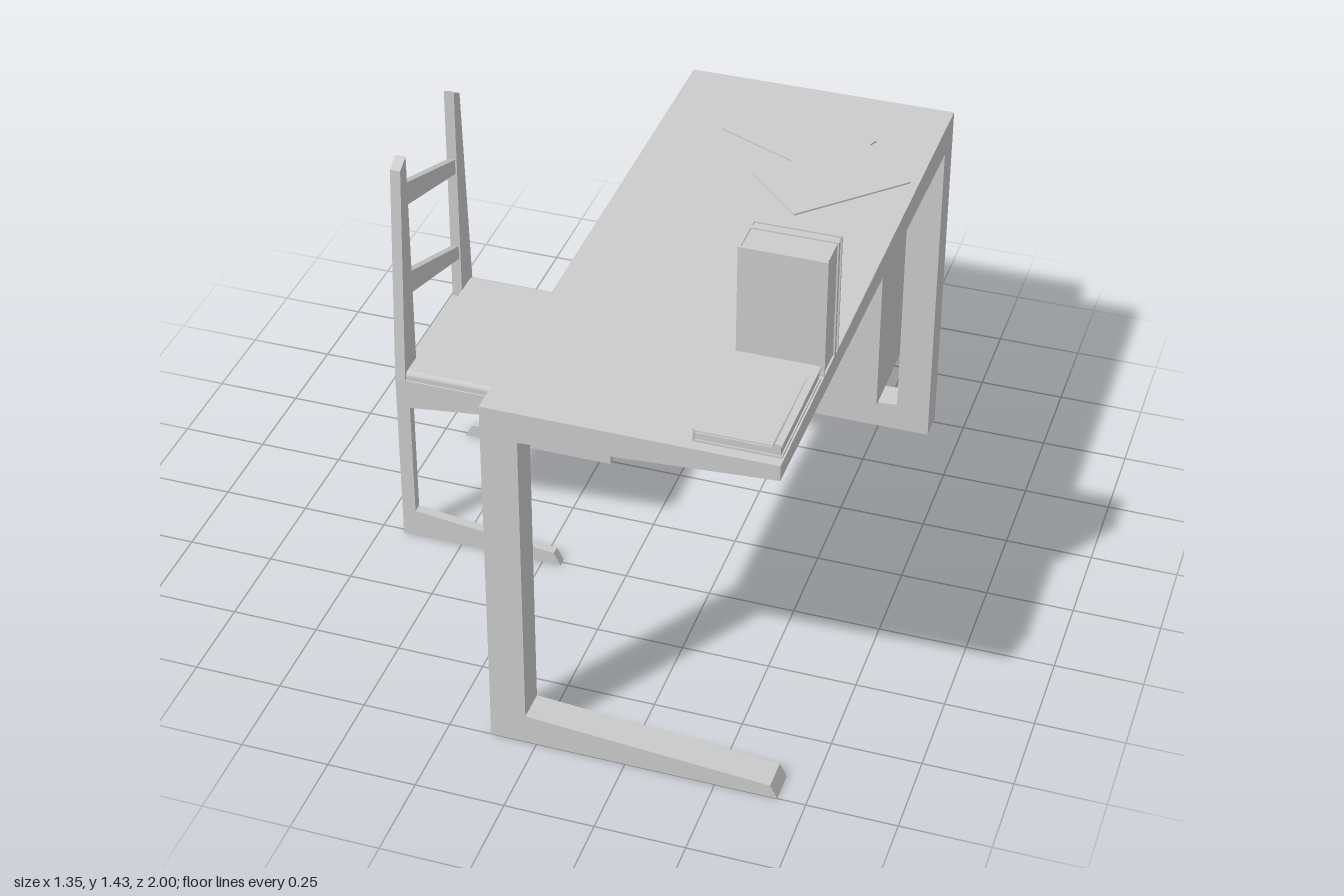
import * as THREE from 'three';
import { RoundedBoxGeometry } from 'three/addons/geometries/RoundedBoxGeometry.js';

const material = new THREE.MeshStandardMaterial({ color: 0xcccccc, flatShading: true });
const smooth = new THREE.MeshStandardMaterial({ color: 0xcccccc });

function add(parent, name, geometry, mat = material) {
  const mesh = new THREE.Mesh(geometry, mat);
  mesh.name = name;
  parent.add(mesh);
  return mesh;
}

// Box given by its extents along each axis
function box(parent, name, [x0, x1], [y0, y1], [z0, z1]) {
  const mesh = add(parent, name, new THREE.BoxGeometry(x1 - x0, y1 - y0, z1 - z0));
  mesh.position.set((x0 + x1) / 2, (y0 + y1) / 2, (z0 + z1) / 2);
  return mesh;
}

function prism(points, depth) {
  const shape = new THREE.Shape(points.map(([x, y]) => new THREE.Vector2(x, y)));
  return new THREE.ExtrudeGeometry(shape, { depth, bevelEnabled: false });
}

// Outline drawn in (z, y), extruded along x starting at x0
function sidePrism(points, x0, depth) {
  return prism(points, depth).rotateY(-Math.PI / 2).translate(x0 + depth, 0, 0);
}

// Two opposed C-shaped legs joined by tapering rails around a recessed panel
function cantileverFrame(name, o) {
  const { W, L, p, d, top, thick, thin } = o;
  const frame = new THREE.Group();
  frame.name = name;
  o.tips.forEach((tip, i) => {
    const half = new THREE.Group();
    half.name = name + (i ? 'RearHalf' : 'FrontHalf');
    half.rotation.y = i * Math.PI;
    add(half, 'cantileverLeg', prism([
      [-W, 0], [W + tip, 0], [W + tip - 0.02, 0.04], [-W + p, 0.09],
      [-W + p, thick], [W, thin], [W, top], [-W, top],
    ], d).translate(0, 0, L - d));
    add(half, 'sideRail', sidePrism([
      [-L, thin], [L - d, thick], [L - d, top], [-L, top],
    ], -W, p));
    frame.add(half);
  });
  box(frame, 'topPanel', [p - W, W - p], [thin + 0.012, top], [d - L, L - d]);
  return frame;
}

// Book standing upright, spine towards -x, covers facing z
function book(name, w, h, t) {
  const g = new THREE.Group();
  g.name = name;
  const c = Math.min(0.006, t / 4);
  for (const s of [-1, 1]) {
    const z = s * (t - c) / 2;
    box(g, 'cover', [-w / 2, w / 2], [0, h], [z - c / 2, z + c / 2]);
  }
  box(g, 'spine', [-w / 2, -w / 2 + c], [0, h], [c - t / 2, t / 2 - c]);
  box(g, 'pages', [-w / 2 + c, w / 2 - 0.004], [0.004, h - 0.004], [c - t / 2, t / 2 - c]);
  return g;
}

function buildDesk() {
  const desk = new THREE.Group();
  desk.name = 'desk';
  const frame = cantileverFrame('deskFrame', {
    W: 0.3925, L: 0.885, p: 0.1, d: 0.09, top: 1.09, thick: 1.0, thin: 1.045, tips: [0.017, 0.006],
  });
  frame.position.set(0.2625, 0, 0.115);
  desk.add(frame);

  // Cabinet hung on a post at the rear
  box(desk, 'cabinetPost', [0.19, 0.29], [0.04, 1.06], [-0.768, -0.682]);
  box(desk, 'cabinet', [-0.13, 0.545], [0.245, 0.895], [-1, -0.45]);
  box(desk, 'handleStem', [-0.155, -0.13], [0.52, 0.62], [-0.497, -0.485]);
  box(desk, 'handleLip', [-0.155, -0.148], [0.52, 0.62], [-0.525, -0.497]);
  return desk;
}

function buildDeskItems() {
  const items = new THREE.Group();
  items.name = 'deskItems';

  // Upright books: z centre and thickness
  for (const [z, t] of [[0.49, 0.03], [0.556, 0.102]]) {
    const b = book('standingBook', 0.235, 0.345, t);
    b.position.set(0.5375, 1.09, z);
    items.add(b);
  }
  // Lying books: x centre, base y, front z, width, length, thickness
  for (const [x, y, z, w, l, t] of [
    [0.535, 1.09, 0.97, 0.23, 0.35, 0.04],
    [0.53, 1.13, 0.988, 0.2, 0.305, 0.009],
  ]) {
    const b = book('lyingBook', w, l, t);
    b.rotation.x = -Math.PI / 2;
    b.position.set(x, y + t / 2, z);
    items.add(b);
  }
  // Loose sheets: x, y, z, turn
  for (const [x, y, z, turn] of [[0.268, 1.0925, -0.505, -0.42], [0.4175, 1.0975, -0.305, Math.PI / 4]]) {
    const sheet = add(items, 'sheet', new THREE.BoxGeometry(0.368, 0.005, 0.243));
    sheet.position.set(x, y, z);
    sheet.rotation.y = turn;
  }
  return items;
}

function buildChair() {
  const chair = new THREE.Group();
  chair.name = 'chair';
  const frame = cantileverFrame('chairFrame', {
    W: 0.2325, L: 0.265, p: 0.04, d: 0.028, top: 0.552, thick: 0.46, thin: 0.51, tips: [0.02, 0],
  });
  frame.position.x = -0.4475;
  chair.add(frame);

  const cushion = add(chair, 'seatCushion', new RoundedBoxGeometry(0.432, 0.04, 0.52, 3, 0.014), smooth);
  cushion.position.set(-0.439, 0.558, 0);

  // Tapered back posts
  for (const s of [1, -1]) {
    add(chair, 'backPost', sidePrism([
      [s * 0.265, 0.55], [s * 0.18, 0.55], [s * 0.18, 1.243], [s * 0.222, 1.22],
    ], -0.68, 0.03));
  }
  // Slanted slats: bottom and top at +z, then at -z
  for (const [b0, t0, b1, t1] of [[0.795, 0.867, 0.685, 0.728], [1.085, 1.157, 0.975, 1.022]]) {
    add(chair, 'backSlat', sidePrism([[0.18, b0], [0.18, t0], [-0.18, t1], [-0.18, b1]], -0.675, 0.02));
  }
  return chair;
}

export function createModel() {
  const model = new THREE.Group();
  model.name = 'deskAndChair';
  model.add(buildDesk(), buildDeskItems(), buildChair());
  return model;
}
